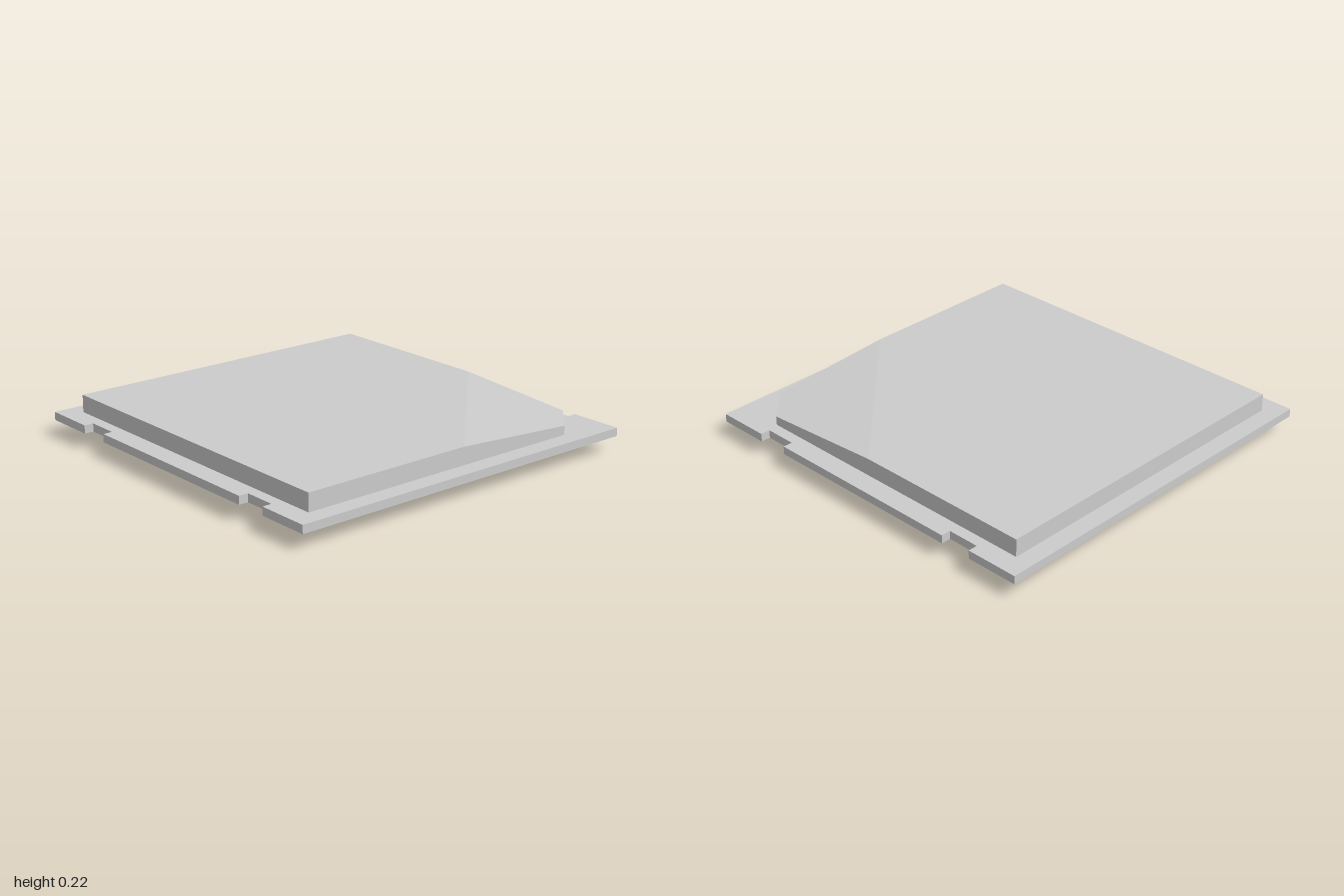
import * as THREE from 'three';
import { mergeGeometries } from 'three/addons/utils/BufferGeometryUtils.js';
import { ConvexGeometry } from 'three/addons/geometries/ConvexGeometry.js';

const material = new THREE.MeshStandardMaterial({ color: 0xcccccc, flatShading: true });

function part(name, geometry) {
  const mesh = new THREE.Mesh(geometry, material);
  mesh.name = name;
  return mesh;
}

// Square board with two shallow notches in its front and back edges
function boardGeometry() {
  const edge = [[-1, 1], [-0.72, 1], [-0.72, 0.95], [-0.55, 0.95], [-0.55, 1],
    [0.55, 1], [0.55, 0.95], [0.72, 0.95], [0.72, 1], [1, 1]];
  const outline = [...edge, ...edge.map(([x, z]) => [-x, -z])];
  const shape = new THREE.Shape(outline.map(([x, z]) => new THREE.Vector2(x, z)));
  return new THREE.ExtrudeGeometry(shape, { depth: 0.043, bevelEnabled: false })
    .rotateX(-Math.PI / 2).translate(0, 0.08, 0);
}

// Metal lid: one clipped corner, with a shallow facet falling towards it
function lidGeometry() {
  const base = 0.123, top = 0.215, low = 0.17, w = 0.905, d = 0.89;
  const points = [];
  const add = (x, y, z) => points.push(new THREE.Vector3(x, y, z));
  for (const y of [base, top]) {
    add(-w, y, d);
    add(w, y, d);
    add(-w, y, -d);
  }
  for (const y of [base, low]) {
    add(w, y, -0.72);
    add(0.735, y, -d);
  }
  add(w, top, -0.04);
  add(0.055, top, -d);
  return new ConvexGeometry(points);
}

// Tapered square block under the board
function blockGeometry() {
  return new THREE.CylinderGeometry(0.283 * Math.SQRT2, 0.262 * Math.SQRT2, 0.04, 4)
    .rotateY(Math.PI / 4).translate(0, 0.06, 0);
}

// Four rectangular rings of contact pins
function pinsGeometry() {
  const columns = 16, rows = 20, rings = 4;
  const pin = new THREE.CylinderGeometry(0.008, 0.008, 0.08, 8);
  const pins = [];
  for (let i = 0; i < columns; i++) {
    for (let j = 0; j < rows; j++) {
      if (Math.min(i, j, columns - 1 - i, rows - 1 - j) >= rings) continue;
      const x = -0.603 + i * 1.206 / (columns - 1);
      const z = -0.725 + j * 1.45 / (rows - 1);
      pins.push(pin.clone().translate(x, 0.04, z));
    }
  }
  return mergeGeometries(pins);
}

export function createModel() {
  const model = new THREE.Group();
  model.name = 'processorChip';
  model.add(
    part('board', boardGeometry()),
    part('lid', lidGeometry()),
    part('undersideBlock', blockGeometry()),
    part('pins', pinsGeometry()),
  );
  return model;
}
